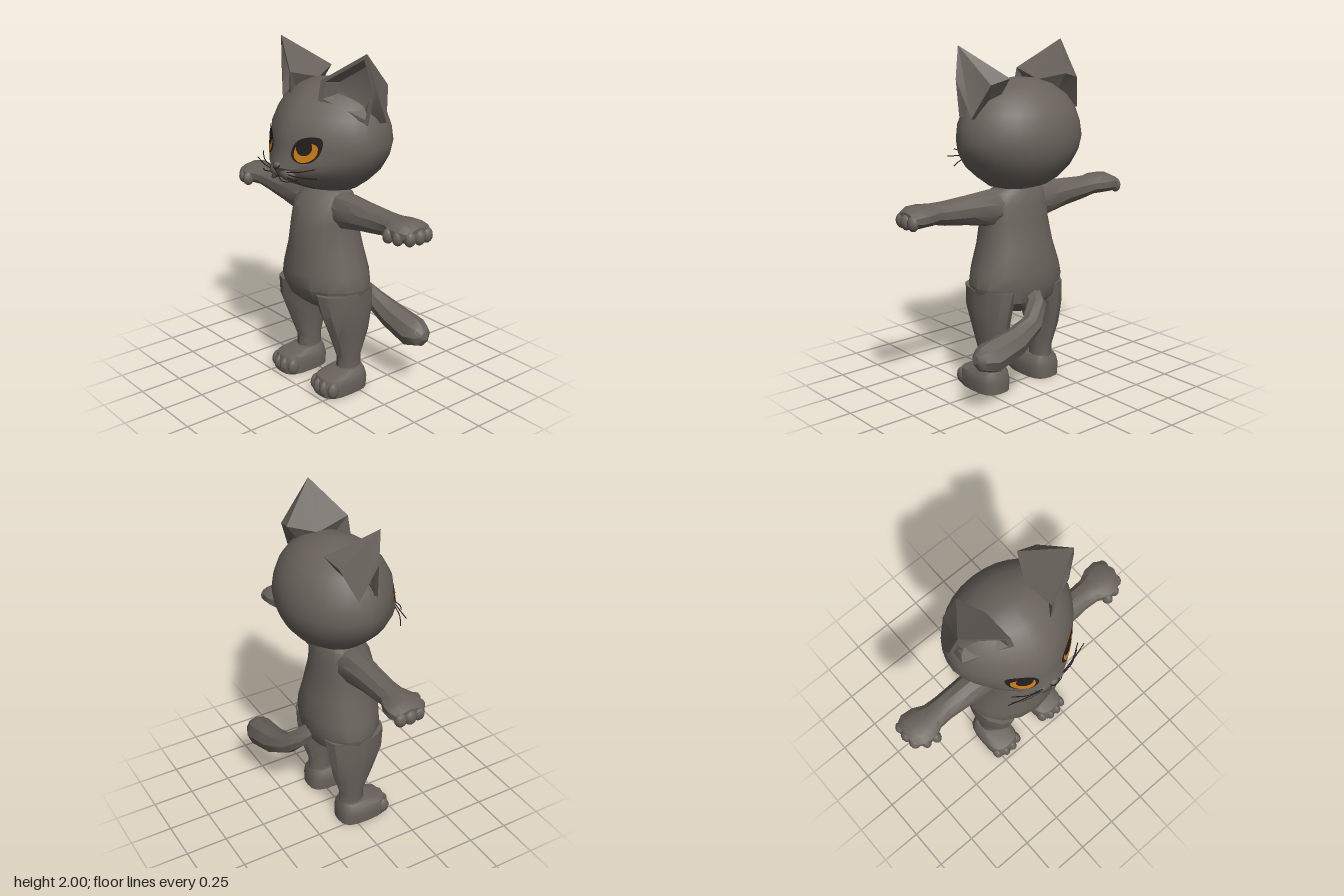
import * as THREE from 'three';
import { toCreasedNormals, mergeGeometries } from 'three/addons/utils/BufferGeometryUtils.js';

const V = (x, y, z) => new THREE.Vector3(x, y, z);
const CREASE = 0.6;

// Skin a list of closed rings (counterclockwise about the sweep direction), capped at both ends
function loft(rings) {
  const n = rings[0].length, pos = [], idx = [];
  rings.forEach(r => r.forEach(p => pos.push(p.x, p.y, p.z)));
  for (let j = 0; j < rings.length - 1; j++) {
    for (let i = 0; i < n; i++) {
      const a = j * n + i, b = j * n + (i + 1) % n;
      idx.push(a, b, b + n, a, b + n, a + n);
    }
  }
  [0, rings.length - 1].forEach(j => {
    const c = rings[j].reduce((s, p) => s.add(p), V(0, 0, 0)).divideScalar(n);
    const k = pos.length / 3;
    pos.push(c.x, c.y, c.z);
    for (let i = 0; i < n; i++) {
      const a = j * n + i, b = j * n + (i + 1) % n;
      if (j === 0) idx.push(k, b, a); else idx.push(k, a, b);
    }
  });
  const g = new THREE.BufferGeometry();
  g.setAttribute('position', new THREE.Float32BufferAttribute(pos, 3));
  g.setIndex(idx);
  return toCreasedNormals(g, CREASE);
}

function triangles(list) {
  const g = new THREE.BufferGeometry().setFromPoints(list.flat());
  g.computeVertexNormals();
  return g;
}

// Copy a geometry to the other side and restore its winding
function mirror(geo) {
  const src = geo.index ? geo.toNonIndexed() : geo, g = new THREE.BufferGeometry();
  for (const name of ['position', 'normal']) {
    const a = src.attributes[name], out = [];
    for (let i = 0; i < a.count; i += 3)
      for (const k of [i, i + 2, i + 1]) out.push(-a.getX(k), a.getY(k), a.getZ(k));
    g.setAttribute(name, new THREE.Float32BufferAttribute(out, 3));
  }
  return g;
}

const signedPow = (v, e) => Math.sign(v) * Math.pow(Math.abs(v), e);
const turn = (n, f) => Array.from({ length: n }, (_, i) => f(Math.cos(i / n * 2 * Math.PI), Math.sin(i / n * 2 * Math.PI)));

// Upright ring: half width, front depth, back depth; power shapes the front half
const bodyRing = ([y, w, zf, zb], n, power) => turn(n, (c, s) => {
  const front = s < 0, e = front ? 2 / power : 1;
  return V(w * signedPow(c, e), y, front ? zf * Math.pow(-s, e) : zb * s);
});
// Upright superellipse ring about its own centre
const limbRing = ([y, cx, cz, rx, rz], n, power) => turn(n, (c, s) =>
  V(cx + rx * signedPow(c, 2 / power), y, cz - rz * signedPow(s, 2 / power)));

// y, half width, front z, back z
const HEAD = [[1.19, .1, .1, -.08], [1.215, .19, .17, -.16], [1.26, .25, .27, -.23], [1.32, .315, .345, -.28],
  [1.37, .345, .37, -.305], [1.41, .37, .355, -.32], [1.48, .39, .335, -.33], [1.56, .378, .33, -.32],
  [1.64, .35, .285, -.29], [1.71, .3, .23, -.24], [1.77, .21, .15, -.17], [1.8, .11, .07, -.09], [1.81, .03, .02, -.03]];
const TORSO = [[.46, .06, .05, -.06], [.49, .17, .13, -.12], [.55, .27, .21, -.175], [.64, .3, .255, -.19],
  [.72, .28, .255, -.19], [.85, .235, .24, -.165], [1, .205, .23, -.13], [1.1, .205, .2, -.12],
  [1.17, .18, .14, -.1], [1.21, .11, .09, -.08]];
const FACE = 1.6;

// Depth of the face surface at x, y
function faceZ(x, y) {
  const j = Math.max(0, HEAD.findIndex((r, i) => i < HEAD.length - 1 && y <= HEAD[i + 1][0]));
  const t = (y - HEAD[j][0]) / (HEAD[j + 1][0] - HEAD[j][0]);
  const w = THREE.MathUtils.lerp(HEAD[j][1], HEAD[j + 1][1], t), zf = THREE.MathUtils.lerp(HEAD[j][2], HEAD[j + 1][2], t);
  const u = Math.min(1, Math.abs(x) / w);
  return zf * Math.pow(1 - Math.pow(u, FACE), 1 / FACE);
}

// Thin patch following the face, from an outline listed clockwise
function facePatch(outline, lift) {
  const pts = new THREE.CatmullRomCurve3(outline.map(([x, y]) => V(x, y, 0)), true).getPoints(28).slice(0, -1);
  const c = pts.reduce((s, p) => s.add(p), V(0, 0, 0)).divideScalar(pts.length);
  const on = (p, t) => { const q = c.clone().lerp(p, t); q.z = faceZ(q.x, q.y) + lift; return q; };
  const tris = [], steps = 5;
  pts.forEach((p, i) => {
    const q = pts[(i + 1) % pts.length];
    for (let k = 0; k < steps; k++) {
      const a = k / steps, b = (k + 1) / steps;
      tris.push([on(p, a), on(q, b), on(p, b)]);
      if (k) tris.push([on(p, a), on(q, a), on(q, b)]);
    }
  });
  return triangles(tris);
}

const faceLine = pts => new THREE.TubeGeometry(
  new THREE.CatmullRomCurve3(pts.map(([x, y, z]) => V(x, y, z ?? faceZ(x, y) + .003))), 10, .003, 5);

const blob = (x, y, z, rx, ry, rz) => new THREE.SphereGeometry(1, 10, 8).scale(rx, ry, rz).translate(x, y, z);

// Left ear: hollow front, bulging back, skirt sunk into the head
function earGeometry() {
  const T = V(.37, 2, .05), O = V(.41, 1.825, .02), OB = V(.375, 1.62, .04), IB = V(.12, 1.73, .175), I = V(.135, 1.84, .165);
  const rim = [T, I, IB, OB, O];
  const c = rim.reduce((s, p) => s.add(p), V(0, 0, 0)).divideScalar(5);
  const inset = rim.map(p => p.clone().lerp(c, .16));
  const deep = rim.map(p => p.clone().lerp(c, .4).add(V(-.015, 0, -.06)));
  const floor = c.clone().add(V(-.015, -.01, -.085));
  const tris = [];
  rim.forEach((p, i) => {
    const k = (i + 1) % 5;
    tris.push([p, rim[k], inset[k]], [p, inset[k], inset[i]]);
    tris.push([inset[i], inset[k], deep[k]], [inset[i], deep[k], deep[i]], [deep[i], deep[k], floor]);
  });
  const back = [O, V(.385, 1.62, -.08), V(.31, 1.8, -.155), V(.2, 1.83, -.18), V(.125, 1.79, -.03), I];
  const root = V(.22, 1.58, 0);
  const loop = [OB, ...back, IB];
  for (let i = 0; i < back.length - 1; i++) tris.push([T, back[i], back[i + 1]]);
  for (let i = 0; i < loop.length - 1; i++) tris.push([loop[i], root, loop[i + 1]]);
  return toCreasedNormals(triangles(tris), CREASE);
}

// x, centre y, centre z, half height, half depth
const ARM = [[.08, 1.09, .02, .1, .1], [.2, 1.09, .02, .105, .095], [.35, 1.1, .02, .085, .082], [.5, 1.107, .018, .07, .074],
  [.58, 1.115, .02, .06, .08], [.64, 1.118, .022, .06, .112], [.71, 1.118, .015, .06, .112], [.76, 1.112, .01, .042, .08]];
// y, centre x, centre z, half width, half depth
const LEG = [[.06, .187, 0, .065, .075], [.13, .186, .005, .063, .078], [.2, .188, .005, .062, .076], [.35, .193, .01, .083, .13],
  [.5, .19, .027, .101, .175], [.62, .165, .03, .125, .19]];
const FOOT = [[0, .19, .068, .1, .155], [.07, .19, .07, .108, .158], [.108, .19, .065, .1, .145], [.138, .187, .02, .074, .088]];

function tailGeometry() {
  const path = [[0, .6, -.13, .05], [.03, .54, -.2, .058], [.11, .455, -.258, .062], [.25, .39, -.278, .08],
    [.43, .345, -.283, .092], [.5, .35, -.28, .065], [.53, .355, -.28, .025]];
  const pts = path.map(p => V(p[0], p[1], p[2]));
  return loft(pts.map((p, i) => {
    const t = pts[Math.min(i + 1, pts.length - 1)].clone().sub(pts[Math.max(i - 1, 0)]).normalize();
    const a = V(0, 1, 0).cross(t).normalize(), b = t.clone().cross(a);
    return turn(8, (c, s) => p.clone().addScaledVector(a, c * path[i][3]).addScaledVector(b, s * path[i][3]));
  }));
}

export function createModel() {
  const model = new THREE.Group();
  const material = (name, color, side = THREE.FrontSide) => {
    const m = new THREE.MeshStandardMaterial({ color, side });
    m.name = name;
    return m;
  };
  const fur = material('grey fur', 0x69625c, THREE.DoubleSide);
  const dark = material('dark markings', 0x251f1e);
  const amber = material('amber iris', 0xcb7d14);
  const add = (name, geo, mat = fur) => {
    const mesh = new THREE.Mesh(geo, mat);
    mesh.name = name;
    model.add(mesh);
  };
  const pair = (name, geo, mat) => {
    add('left' + name, geo, mat);
    add('right' + name, mirror(geo), mat);
  };

  // Head, torso and tail
  add('head', loft(HEAD.map(r => bodyRing(r, 32, FACE))));
  add('torso', loft(TORSO.map(r => bodyRing(r, 16, 2))));
  add('tail', tailGeometry());
  pair('Ear', earGeometry());

  // Limbs
  pair('Arm', loft(ARM.map(([x, y, z, ry, rz]) => turn(10, (c, s) => V(x, y + ry * c, z + rz * s)))));
  pair('Leg', loft(LEG.map(r => limbRing(r, 12, 2))));
  pair('Foot', loft(FOOT.map(r => limbRing(r, 20, 3))));
  const toes = [-.078, -.027, .027, .078].map((d, i) => blob(.19 + d, .052, i % 3 ? .205 : .185, .028, .05, .04));
  pair('FootToes', mergeGeometries(toes));
  const fingers = [[.635, .118], [.695, .105], [.745, .068], [.755, .01], [.75, -.045]]
    .map(([x, z]) => blob(x, 1.1, z, .03, .043, .036));
  pair('HandToes', mergeGeometries(fingers));

  // Muzzle
  pair('MuzzlePad', blob(.045, 1.335, .32, .06, .04, .042));
  add('nose', blob(0, 1.378, .36, .028, .018, .018));

  // Eyes
  pair('EyeRim', facePatch([[.08, 1.46], [.105, 1.52], [.155, 1.55], [.22, 1.553], [.235, 1.53], [.222, 1.46],
    [.19, 1.42], [.14, 1.408], [.1, 1.425]], .005), dark);
  pair('Iris', facePatch([[.1, 1.48], [.125, 1.515], [.165, 1.523], [.212, 1.51], [.212, 1.46],
    [.182, 1.425], [.14, 1.415], [.107, 1.435]], .0075), amber);
  pair('Pupil', facePatch(turn(12, (c, s) => [.15 - .042 * c, 1.498 + .046 * s]), .0098), dark);

  // Mouth and whiskers
  add('mouthLine', faceLine([[0, 1.362, .378], [0, 1.34, .365], [0, 1.315, .35]]), dark);
  pair('MouthCurve', faceLine([[0, 1.318, .352], [.03, 1.302, .362], [.065, 1.297, .352], [.1, 1.305]]), dark);
  pair('NoseEdge', faceLine([[0, 1.36, .379], [.018, 1.37, .377], [.032, 1.388, .366]]), dark);
  const whiskers = [[1.352, 1.37, 1.393], [1.34, 1.34, 1.352], [1.325, 1.305, 1.29]].map(([a, b, c], i) =>
    faceLine([[.07, a, .35], [.16, b, .33], [i === 1 ? .27 : .235, c, i === 1 ? .3 : .285]]));
  pair('Whiskers', mergeGeometries(whiskers), dark);
  return model;
}
